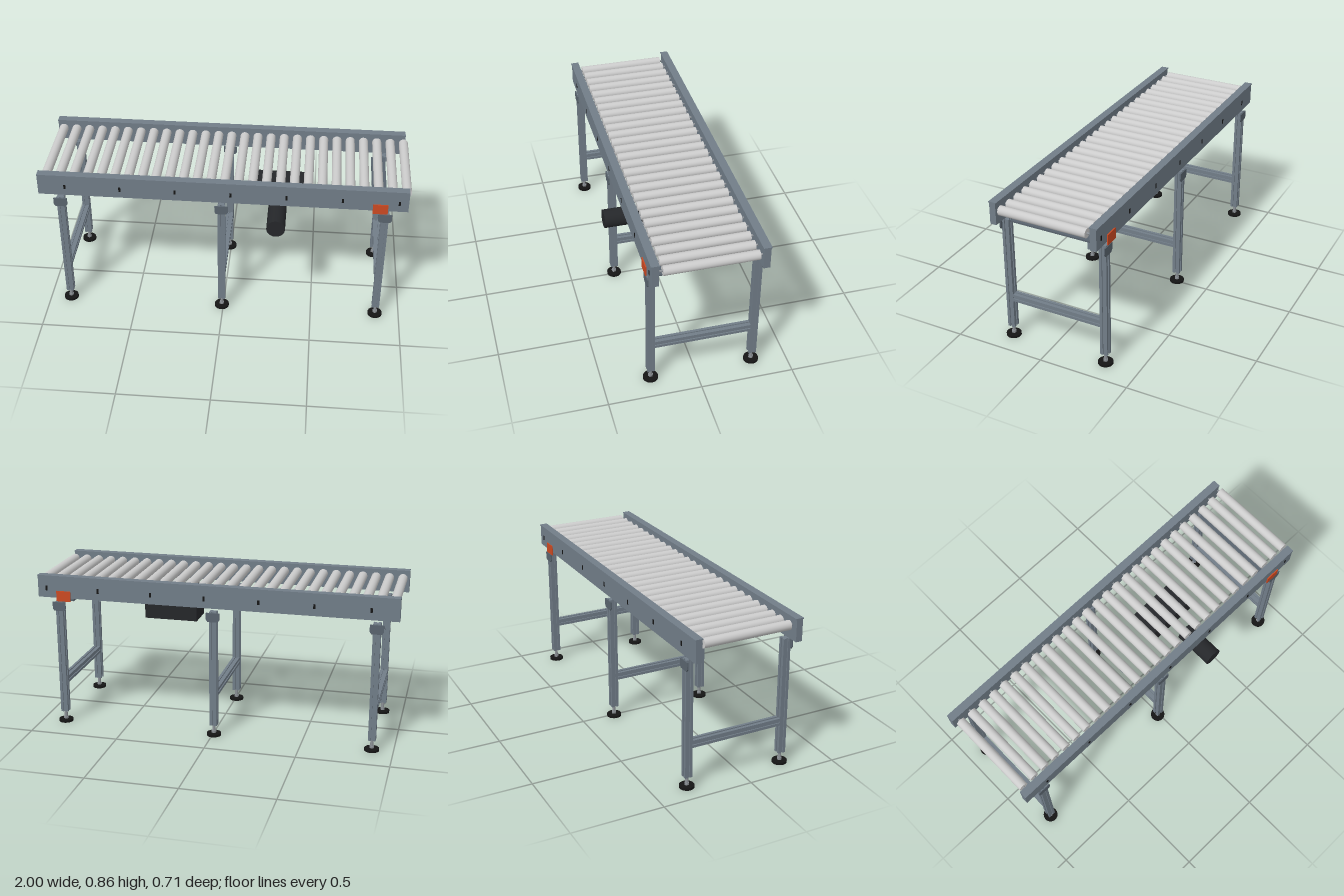
import * as THREE from 'three';

const paint = (color, metalness = 0) => new THREE.MeshStandardMaterial({ color, roughness: 0.6, metalness });

export function createModel() {
  const model = new THREE.Group();
  const steel = paint(0x717d88);
  const darkSteel = paint(0x59646e);
  const silver = paint(0xcccccc);
  const axleGrey = paint(0x8c9196);
  const black = paint(0x25272a);
  const rubber = paint(0x151515);
  const orange = paint(0xcc4a22);

  const add = (parent, name, geometry, material, x = 0, y = 0, z = 0) => {
    const mesh = new THREE.Mesh(geometry, material);
    mesh.name = name;
    mesh.position.set(x, y, z);
    parent.add(mesh);
    return mesh;
  };
  const box = (w, h, d) => new THREE.BoxGeometry(w, h, d);
  const rodZ = (r, length, sides = 24) => new THREE.CylinderGeometry(r, r, length, sides).rotateX(Math.PI / 2);

  // Square bar with a slot along each of its four sides
  const slottedBar = (length) => {
    const h = 0.0205, s = 0.0055, d = 0.0145;
    const side = [[-h, -h], [-s, -h], [-s, -d], [s, -d], [s, -h]];
    const points = [];
    for (let i = 0; i < 4; i++) {
      const turn = (i * Math.PI) / 2;
      for (const [x, y] of side) {
        points.push(new THREE.Vector2(x, y).rotateAround(new THREE.Vector2(), turn));
      }
    }
    return new THREE.ExtrudeGeometry(new THREE.Shape(points), { depth: length, bevelEnabled: false });
  };

  const midZ = -0.034;   // centre line of the conveyor bed
  const legOffset = 0.278;
  const legXs = [-0.884, -0.008, 0.866];

  // Side rails with top lip, outer slots and sensor plate
  for (const side of [1, -1]) {
    const rail = new THREE.Group();
    rail.name = side > 0 ? 'frontRail' : 'rearRail';
    model.add(rail);
    const railZ = midZ + side * 0.2815;
    const outerZ = railZ + side * 0.0175;
    add(rail, 'railBeam', box(1.984, 0.12, 0.035), steel, -0.008, 0.798, railZ);
    add(rail, 'railLip', box(1.984, 0.006, 0.044), steel, -0.008, 0.86, railZ);
    for (let i = 0; i < 7; i++) {
      add(rail, 'railSlot', box(0.011, 0.026, 0.004), rubber, -0.853 + i * 0.298, 0.79, outerZ);
    }
    add(rail, 'sensorPlate', box(0.08, 0.058, 0.007), orange, 0.837, 0.749, outerZ + side * 0.0025);
  }

  // Rollers on thin axles
  const rollerGeometry = rodZ(0.0255, 0.488, 28);
  const axleGeometry = rodZ(0.006, 0.518, 12);
  for (let i = 0; i < 27; i++) {
    const x = -0.964 + i * 0.0745;
    add(model, 'roller', rollerGeometry, silver, x, 0.8225, midZ);
    add(model, 'rollerAxle', axleGeometry, axleGrey, x, 0.8225, midZ);
  }

  // Leg frames: two slotted posts, adjustable feet and a cross bar
  const postGeometry = slottedBar(0.656).rotateX(-Math.PI / 2);
  const barGeometry = slottedBar(0.517);
  const bracketShape = new THREE.Shape([
    [-0.037, 0.025], [-0.037, -0.012], [-0.028, -0.025], [0.028, -0.025], [0.037, -0.012], [0.037, 0.025],
  ].map(([x, y]) => new THREE.Vector2(x, y)));
  const bracketGeometry = new THREE.ExtrudeGeometry(bracketShape, { depth: 0.007, bevelEnabled: false });
  bracketGeometry.translate(0, 0, -0.0035);
  for (const x of legXs) {
    const frame = new THREE.Group();
    frame.name = 'legFrame';
    frame.position.set(x, 0, midZ);
    model.add(frame);
    add(frame, 'crossBar', barGeometry, steel, 0, 0.25, -0.2585);
    for (const side of [1, -1]) {
      const z = side * legOffset;
      add(frame, 'legPost', postGeometry, steel, 0, 0.062, z);
      add(frame, 'legBracket', bracketGeometry, darkSteel, 0, 0.688, z + side * 0.0205);
      add(frame, 'footPad', new THREE.CylinderGeometry(0.04, 0.04, 0.013, 28), rubber, 0, 0.0065, z);
      add(frame, 'footNut', new THREE.CylinderGeometry(0.0135, 0.0135, 0.012, 6), axleGrey, 0, 0.021, z);
      add(frame, 'footStem', new THREE.CylinderGeometry(0.009, 0.009, 0.055, 16), axleGrey, 0, 0.038, z);
    }
  }

  // Sensor cross plate below the rollers
  add(model, 'sensorCrossPlate', box(0.08, 0.009, 0.497), darkSteel, 0.84, 0.7125, midZ);

  // Drive unit
  add(model, 'driveHousing', box(0.3, 0.12, 0.158), black, 0.29, 0.648, midZ);
  add(model, 'driveMotor', rodZ(0.05, 0.219, 32), black, 0.29, 0.648, 0.2455);

  return model;
}
